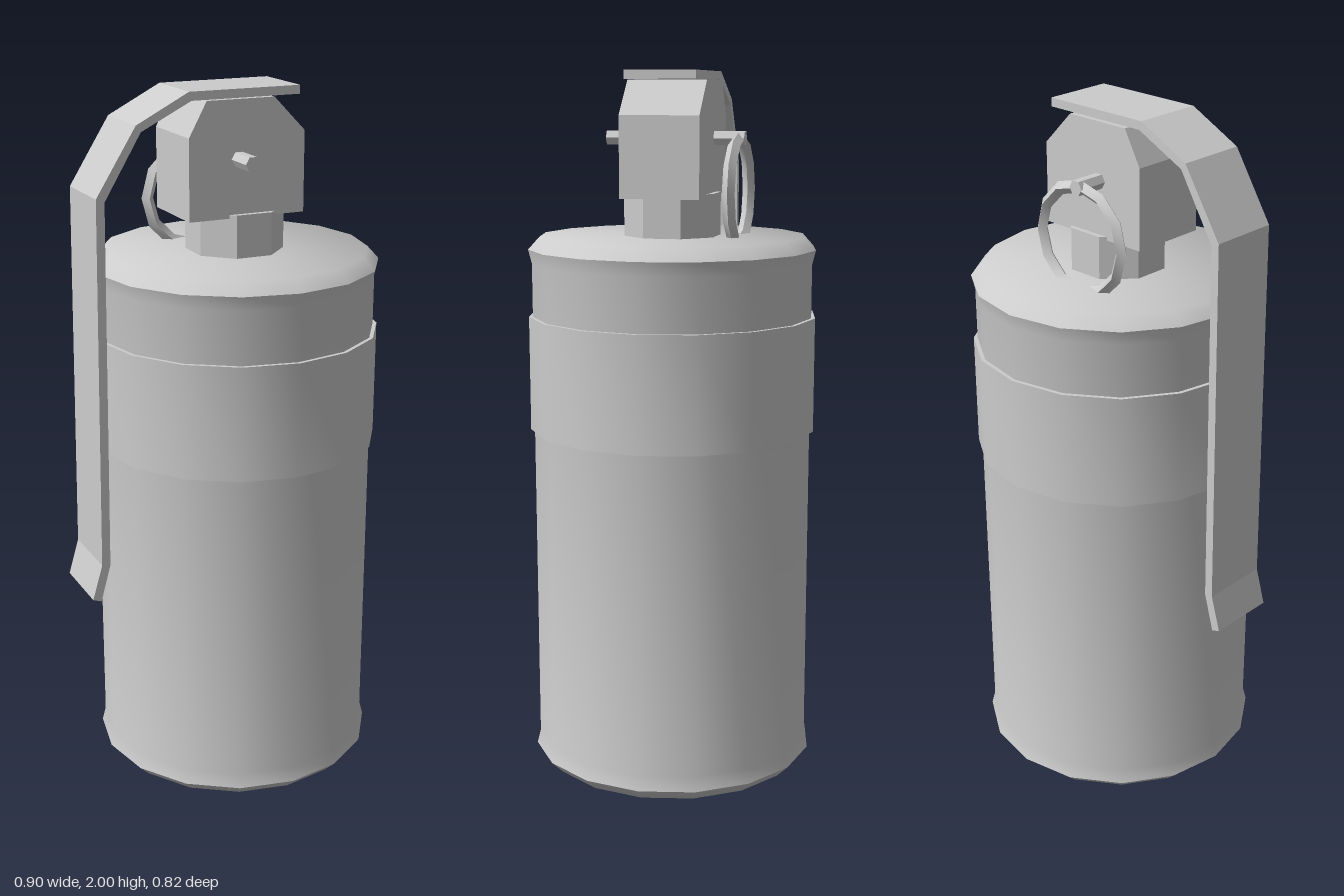
import * as THREE from 'three';
import { toCreasedNormals } from 'three/addons/utils/BufferGeometryUtils.js';

const metal = new THREE.MeshStandardMaterial({ color: 0xcccccc });
metal.name = 'grey metal';
const flatMetal = metal;

const CREASE = THREE.MathUtils.degToRad(50);
const AXIS_X = 0.04; // the canister sits slightly off centre

function part(name, geometry, x = 0, y = 0, z = 0) {
  const mesh = new THREE.Mesh(geometry, flatMetal);
  mesh.name = name;
  mesh.position.set(x, y, z);
  return mesh;
}

function turned(profile, sides) {
  const points = profile.map(([r, y]) => new THREE.Vector2(r, y));
  return toCreasedNormals(new THREE.LatheGeometry(points, sides), CREASE);
}

// Front outline pushed through to a given depth, centred on z = 0
function slab(outline, depth) {
  const shape = new THREE.Shape(outline.map(([x, y]) => new THREE.Vector2(x, y)));
  const geometry = new THREE.ExtrudeGeometry(shape, { depth, bevelEnabled: false });
  geometry.translate(0, 0, -depth / 2);
  return geometry;
}

export function createModel() {
  const model = new THREE.Group();
  model.name = 'canister';

  // Canister with rolled rims at both ends
  model.add(part('body', turned([
    [0, 0], [0.375, 0], [0.41, 0.035], [0.4, 0.075],
    [0.4, 1.47], [0.41, 1.51], [0.378, 1.545], [0, 1.545],
  ], 16), AXIS_X));

  // Raised band around the upper body
  model.add(part('band', turned([
    [0.39, 0.995], [0.411, 0.995], [0.411, 1.32], [0.39, 1.32],
  ], 16), AXIS_X));

  // Octagonal neck under the fuse head
  const neck = new THREE.CylinderGeometry(0.138, 0.138, 0.14, 8);
  neck.rotateY(Math.PI / 8);
  model.add(part('neck', toCreasedNormals(neck, 0.3), AXIS_X, 1.595));

  // Fuse head with chamfered top corners
  model.add(part('fuseHead', slab([
    [-0.147, 1.655], [0.198, 1.655], [0.198, 1.88],
    [0.105, 1.975], [-0.095, 1.975], [-0.147, 1.88],
  ], 0.225)));

  // Safety lever: bent strip running over the head and down the side
  model.add(part('lever', slab([
    [0.188, 2], [-0.14, 2], [-0.292, 1.922], [-0.408, 1.738], [-0.42, 0.69], [-0.45, 0.587],
    [-0.425, 0.578], [-0.395, 0.687], [-0.384, 1.728], [-0.278, 1.904], [-0.133, 1.976], [0.188, 1.976],
  ], 0.2)));

  // Pin through the head
  const pin = new THREE.CylinderGeometry(0.022, 0.022, 0.4, 6);
  pin.rotateY(Math.PI / 2);
  pin.rotateX(Math.PI / 2);
  model.add(part('pin', toCreasedNormals(pin, 0.3), 0, 1.815, 0));

  // Pull ring hanging from the back end of the pin
  const ring = new THREE.TorusGeometry(0.148, 0.018, 4, 12);
  model.add(part('pullRing', toCreasedNormals(ring, 0.6), 0, 1.668, -0.182));

  return model;
}
